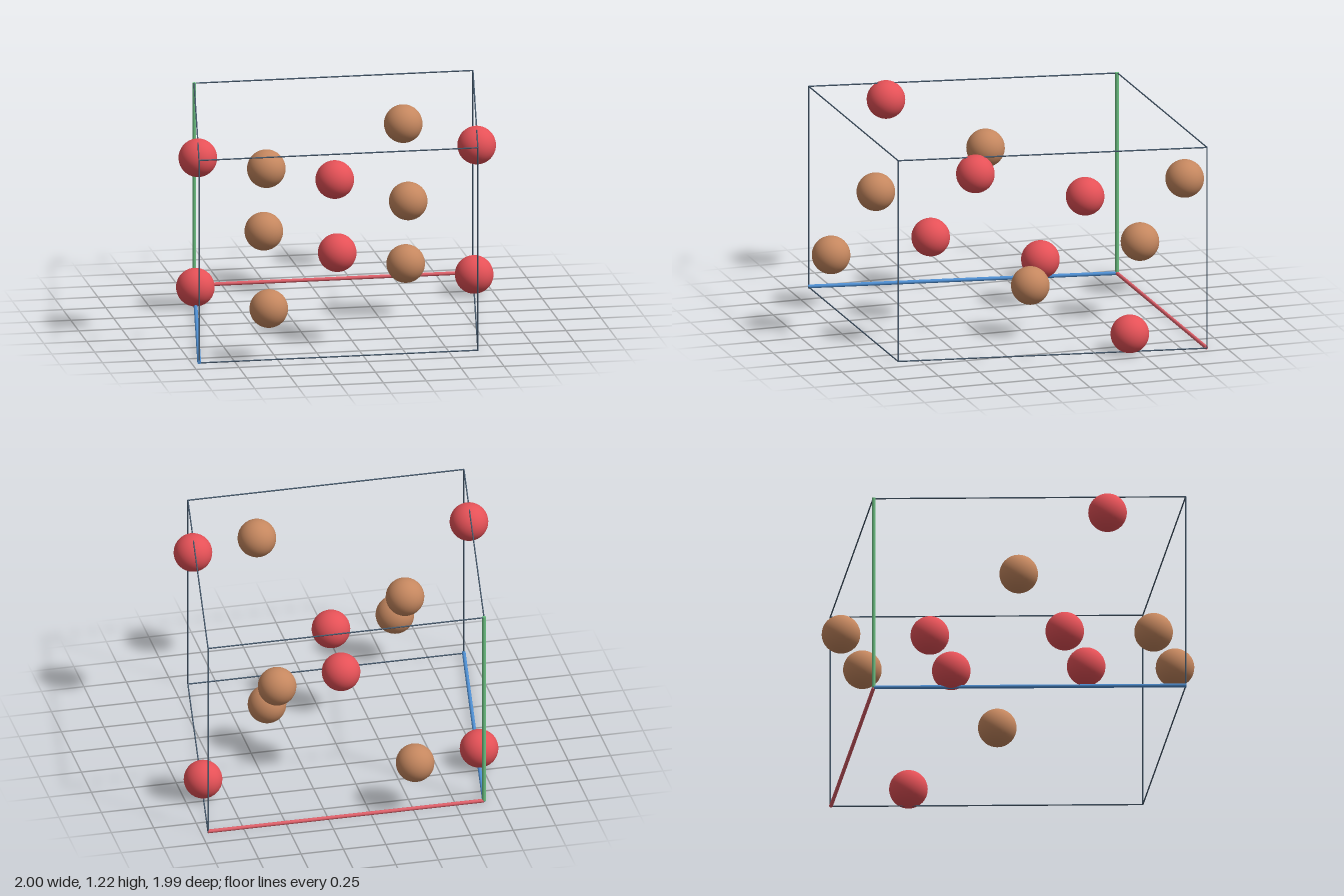
import * as THREE from 'three';

const material = (name, color) => {
  const m = new THREE.MeshStandardMaterial({ color });
  m.name = name;
  return m;
};

export function createModel() {
  const group = new THREE.Group();
  const red = material('atom red', 0xe55157);
  const brown = material('atom copper brown', 0xc5875f);
  const dark = material('frame slate', 0x46596c);
  const axisRed = material('axis red', 0xe0606a);
  const axisGreen = material('axis green', 0x6cc082);
  const axisBlue = material('axis blue', 0x4f90d4);

  // Sheared cell: fractional coordinates (u, v, w) to a position
  const cell = (u, v, w) => new THREE.Vector3(
    -0.664 + 1.626 * u - 0.297 * w, 0.008 + 1.198 * v, -0.886 + 1.768 * w);

  const rod = (name, a, b, radius, mat) => {
    const dir = b.clone().sub(a);
    const mesh = new THREE.Mesh(new THREE.CylinderGeometry(radius, radius, dir.length(), 12), mat);
    mesh.position.copy(a).add(b).multiplyScalar(0.5);
    mesh.quaternion.setFromUnitVectors(new THREE.Vector3(0, 1, 0), dir.normalize());
    mesh.name = name;
    group.add(mesh);
  };

  // Twelve cell edges; the three through the origin corner are coloured axes, set slightly inward
  const axes = [['axisA', axisRed], ['axisB', axisGreen], ['axisC', axisBlue]];
  const inward = new THREE.Vector3(0, 0.004, 0.004);
  axes.forEach(([name, mat], k) => {
    for (const i of [0, 1]) for (const j of [0, 1]) {
      const start = [0, 0, 0];
      start[(k + 1) % 3] = i;
      start[(k + 2) % 3] = j;
      const end = [...start];
      end[k] = 1;
      const a = cell(...start), b = cell(...end);
      if (i + j === 0) rod(name, a.add(inward), b.add(inward), 0.011, mat);
      else rod('cellEdge', a, b, 0.004, dark);
    }
  });

  // Atoms in fractional coordinates
  const sphere = new THREE.SphereGeometry(0.111, 32, 24);
  const addAtom = (name, mat, u, v, w) => {
    const mesh = new THREE.Mesh(sphere, mat);
    mesh.position.copy(cell(u, v, w));
    mesh.name = name;
    group.add(mesh);
  };
  for (const u of [0, 1]) {
    addAtom('redAtom', red, u, 0.088, 0.25);
    addAtom('redAtom', red, u, 0.918, 0.75);
  }
  addAtom('redAtom', red, 0.5, 0.588, 0.25);
  addAtom('redAtom', red, 0.5, 0.418, 0.75);
  for (const w of [0, 0.5, 1]) {
    const low = w === 0.5 ? 0.75 : 0.25;
    addAtom('brownAtom', brown, low, 0.253, w);
    addAtom('brownAtom', brown, 1 - low, 0.753, w);
  }
  return group;
}
